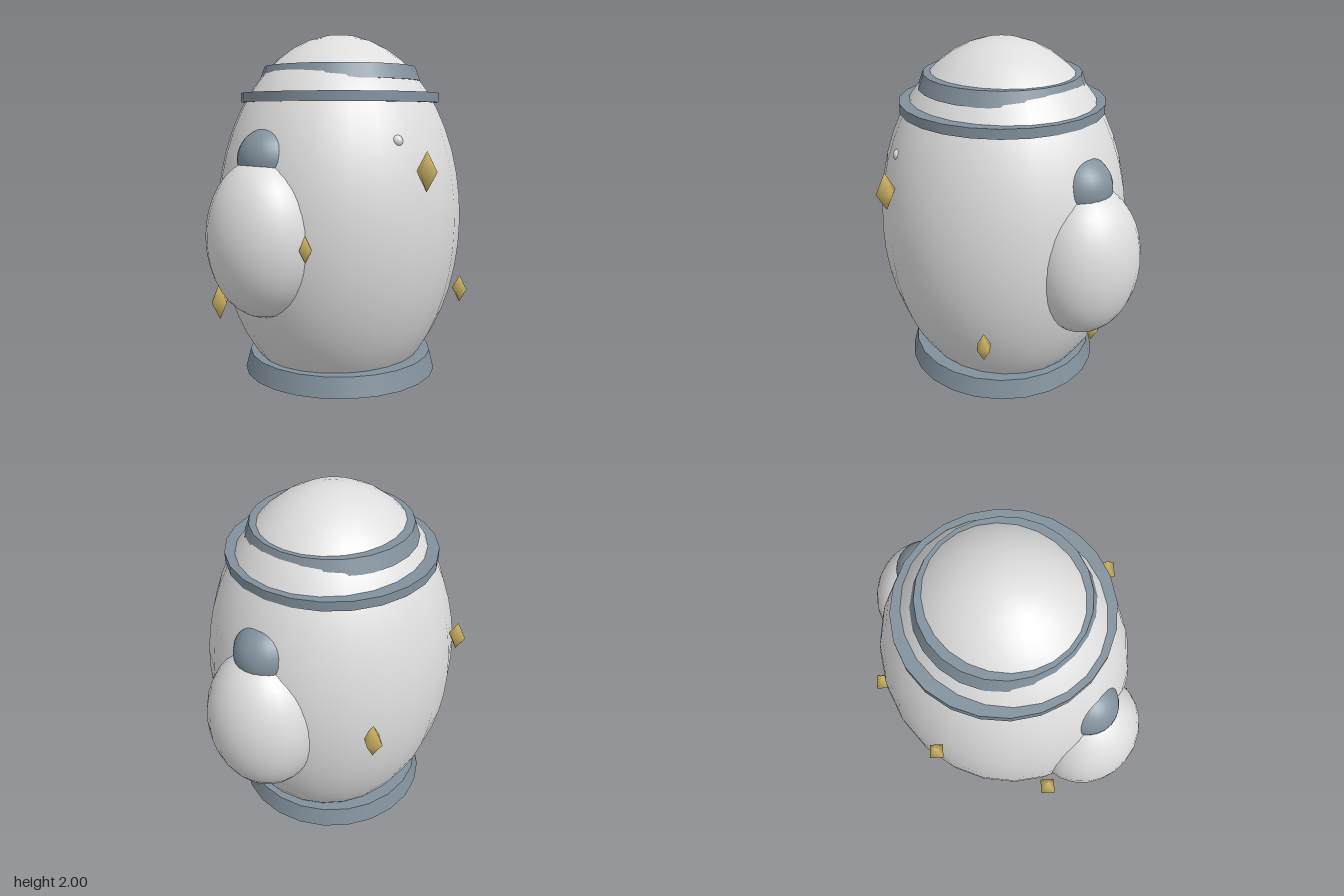
import * as THREE from 'three';

export function createModel() {
  const model = new THREE.Group();
  const material = (name, color) => {
    const m = new THREE.MeshStandardMaterial({ color });
    m.name = name;
    return m;
  };
  const shell = material('pale grey', 0xdedede);
  const trim = material('slate blue', 0x82919d);
  const gold = material('soft gold', 0xcfb565);

  const add = (name, geometry, mat, position, scale = [1, 1, 1]) => {
    const mesh = new THREE.Mesh(geometry, mat);
    mesh.name = name;
    mesh.position.set(...position);
    mesh.scale.set(...scale);
    model.add(mesh);
    return mesh;
  };
  const cz = -0.006; // depth of the body's axis

  // Egg-shaped body
  add('body', new THREE.SphereGeometry(1, 24, 24), shell, [0, 1.002, cz], [0.695, 0.998, 0.65]);

  // Trim rings: name, top radius, bottom radius, bottom y, top y
  for (const [name, top, bottom, y0, y1] of [
    ['baseRing', 0.508, 0.535, 0.16, 0.265],
    ['collarRing', 0.535, 0.535, 1.64, 1.69],
    ['crownBand', 0.407, 0.435, 1.755, 1.83],
  ]) {
    add(name, new THREE.CylinderGeometry(top, bottom, y1 - y0, 24), trim, [0, (y0 + y1) / 2, cz]);
  }

  // Side pods and their shoulder caps
  const round = new THREE.SphereGeometry(1, 24, 18);
  for (const [side, s] of [['left', 1], ['right', -1]]) {
    add(side + 'Pod', round, shell, [s * 0.6, 0.97, cz], [0.27, 0.4, 0.298]);
    add(side + 'ShoulderCap', round, trim, [s * 0.55, 1.355, cz], [0.16, 0.158, 0.157]);
  }

  // Small bump on the upper front
  add('bump', new THREE.SphereGeometry(0.03, 12, 8), shell, [-0.21, 1.45, 0.52]);

  // Gold diamonds: x, y, z, half width, half height
  const diamond = new THREE.SphereGeometry(1, 4, 2);
  for (const [x, y, z, w, h] of [
    [-0.15, 1.305, 0.655, 0.06, 0.1],
    [0.42, 0.6, 0.525, 0.046, 0.077],
    [0.675, 0.6, 0, 0.046, 0.077],
    [-0.15, 1.305, -0.67, 0.046, 0.077],
    [0.42, 0.955, -0.545, 0.055, 0.1],
    [-0.62, 0.6, -0.32, 0.055, 0.1],
    [-0.62, 0.95, 0.29, 0.042, 0.065],
  ]) {
    add('diamond', diamond, gold, [x, y, z], [w, h, w]);
  }
  return model;
}
